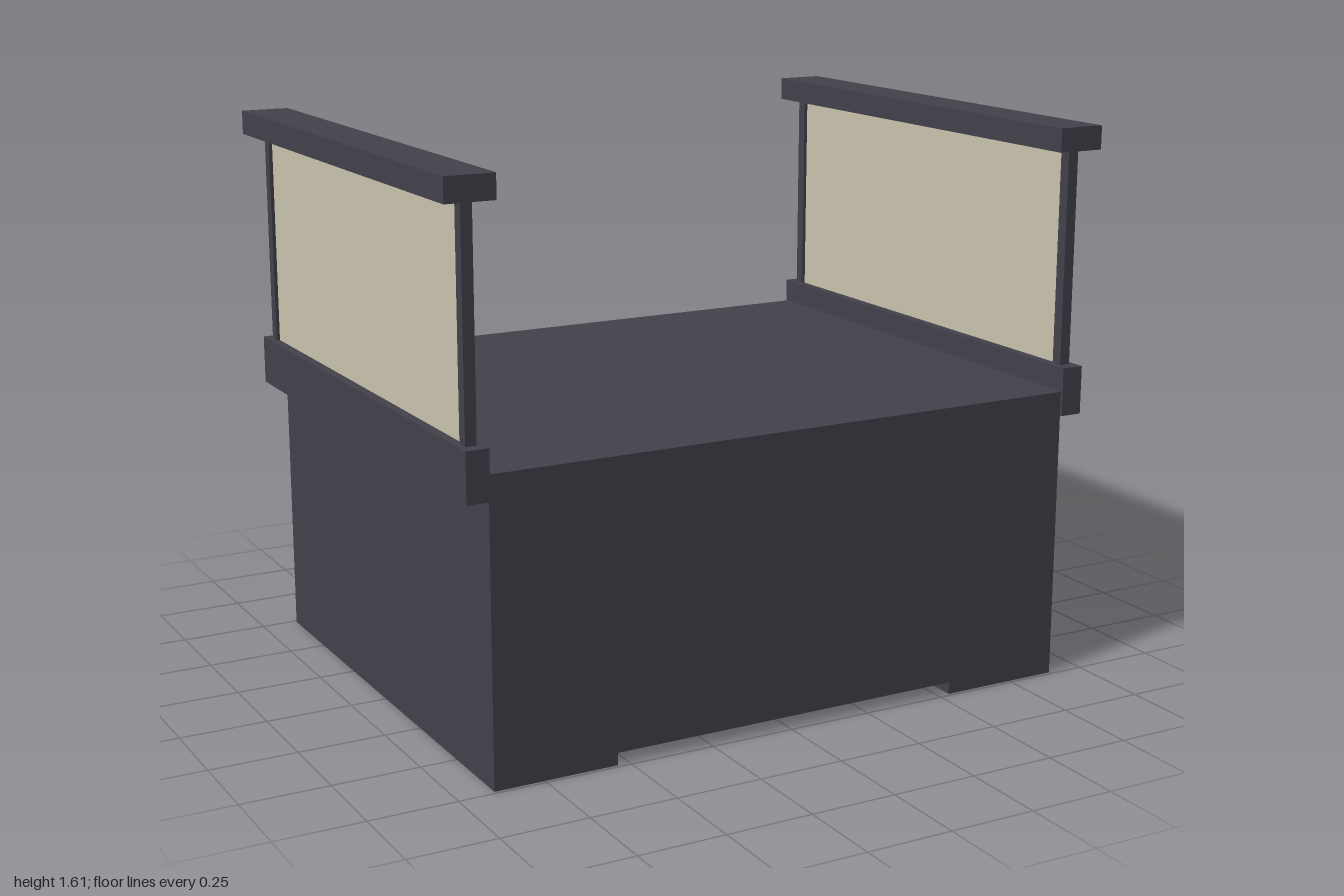
import * as THREE from 'three';

export function createModel() {
  const model = new THREE.Group();
  const darkMetal = new THREE.MeshStandardMaterial({ color: 0x43424b });
  darkMetal.name = 'dark metal';
  const paleGlass = new THREE.MeshStandardMaterial({ color: 0xcac5ae });
  paleGlass.name = 'pale glass';

  // Box given by its low and high limits on each axis
  const box = (parent, name, material, [x0, x1], [y0, y1], [z0, z1]) => {
    const mesh = new THREE.Mesh(new THREE.BoxGeometry(x1 - x0, y1 - y0, z1 - z0), material);
    mesh.position.set((x0 + x1) / 2, (y0 + y1) / 2, (z0 + z1) / 2);
    mesh.name = name;
    parent.add(mesh);
  };

  // Solid block with a shallow channel running front to back underneath
  const profile = new THREE.Shape([
    [-0.895, 0], [-0.535, 0], [-0.535, 0.035], [0.535, 0.035],
    [0.535, 0], [0.895, 0], [0.895, 0.85], [-0.895, 0.85],
  ].map(([x, y]) => new THREE.Vector2(x, y)));
  const blockGeometry = new THREE.ExtrudeGeometry(profile, { depth: 1.48, bevelEnabled: false });
  blockGeometry.translate(0, 0, -0.74);
  const block = new THREE.Mesh(blockGeometry, darkMetal);
  block.name = 'platformBlock';
  model.add(block);

  // One railing on each side
  for (const side of [1, -1]) {
    const railing = new THREE.Group();
    railing.name = side > 0 ? 'leftRailing' : 'rightRailing';
    const span = (a, b) => (side > 0 ? [a, b] : [-b, -a]);

    box(railing, 'kerb', darkMetal, span(0.895, 0.96), [0.78, 0.92], [-0.748, 0.748]);
    box(railing, 'handrail', darkMetal, span(0.86, 1), [1.537, 1.605], [-0.74, 0.74]);
    box(railing, 'glassPanel', paleGlass, span(0.922, 0.934), [0.92, 1.537], [-0.676, 0.676]);
    box(railing, 'frontPost', darkMetal, span(0.912, 0.944), [0.92, 1.537], [0.676, 0.71]);
    box(railing, 'backPost', darkMetal, span(0.912, 0.944), [0.92, 1.537], [-0.71, -0.676]);
    model.add(railing);
  }
  return model;
}
